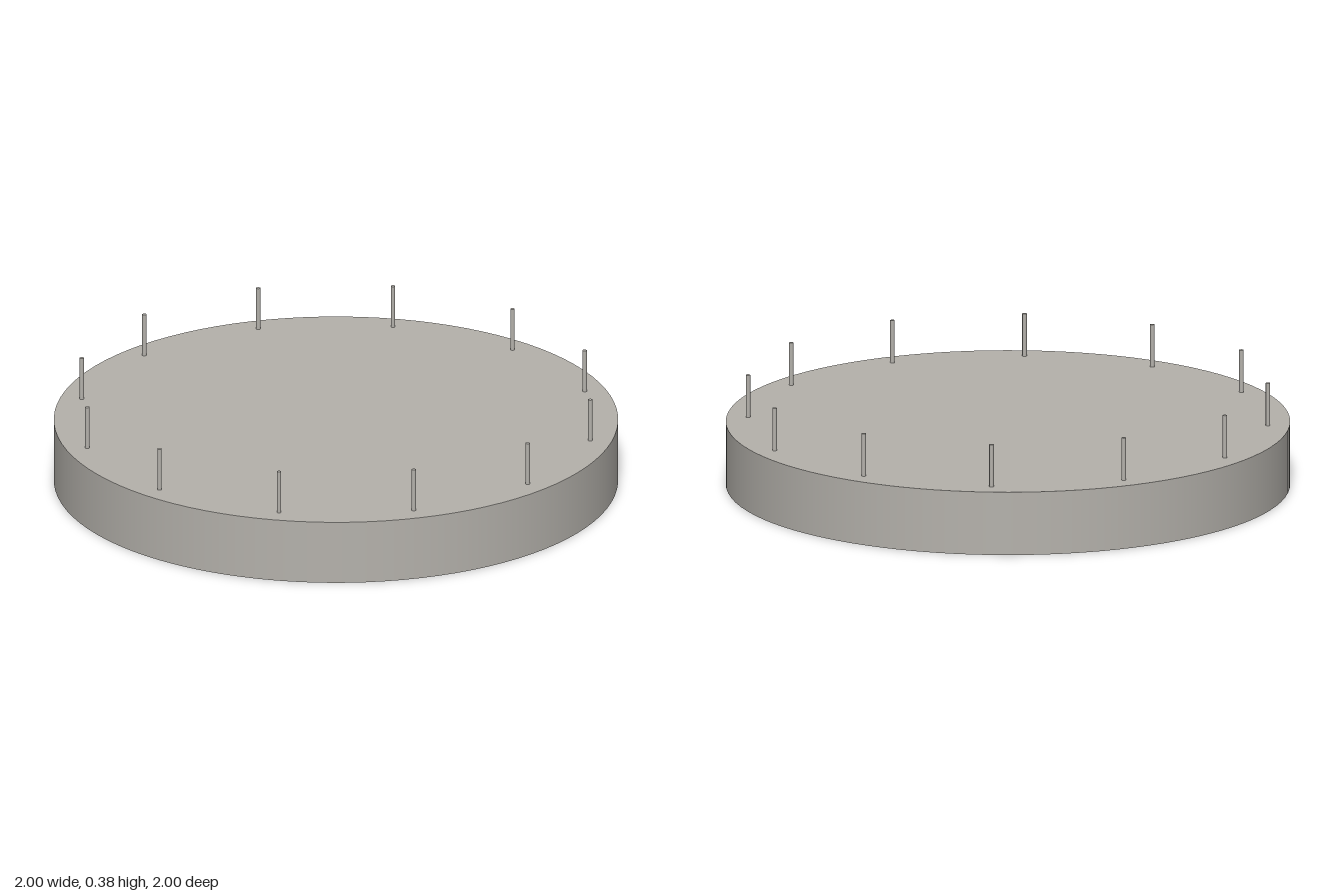
import * as THREE from 'three';

export function createModel() {
  const model = new THREE.Group();
  const stone = new THREE.MeshStandardMaterial({ name: 'warm grey', color: 0xb4b1ab });

  // Round platform
  const baseHeight = 0.23;
  const base = new THREE.Mesh(new THREE.CylinderGeometry(1, 1, baseHeight, 96), stone);
  base.name = 'base';
  base.position.y = baseHeight / 2;
  model.add(base);

  // Ring of twelve thin upright posts near the rim
  const posts = new THREE.Group();
  posts.name = 'posts';
  const postHeight = 0.155;
  const postGeometry = new THREE.CylinderGeometry(0.008, 0.008, postHeight, 12);
  for (let i = 0; i < 12; i++) {
    const angle = (i / 12) * Math.PI * 2;
    const post = new THREE.Mesh(postGeometry, stone);
    post.name = `post${i + 1}`;
    post.position.set(Math.cos(angle) * 0.923, baseHeight + postHeight / 2, Math.sin(angle) * 0.923);
    posts.add(post);
  }
  model.add(posts);

  return model;
}
